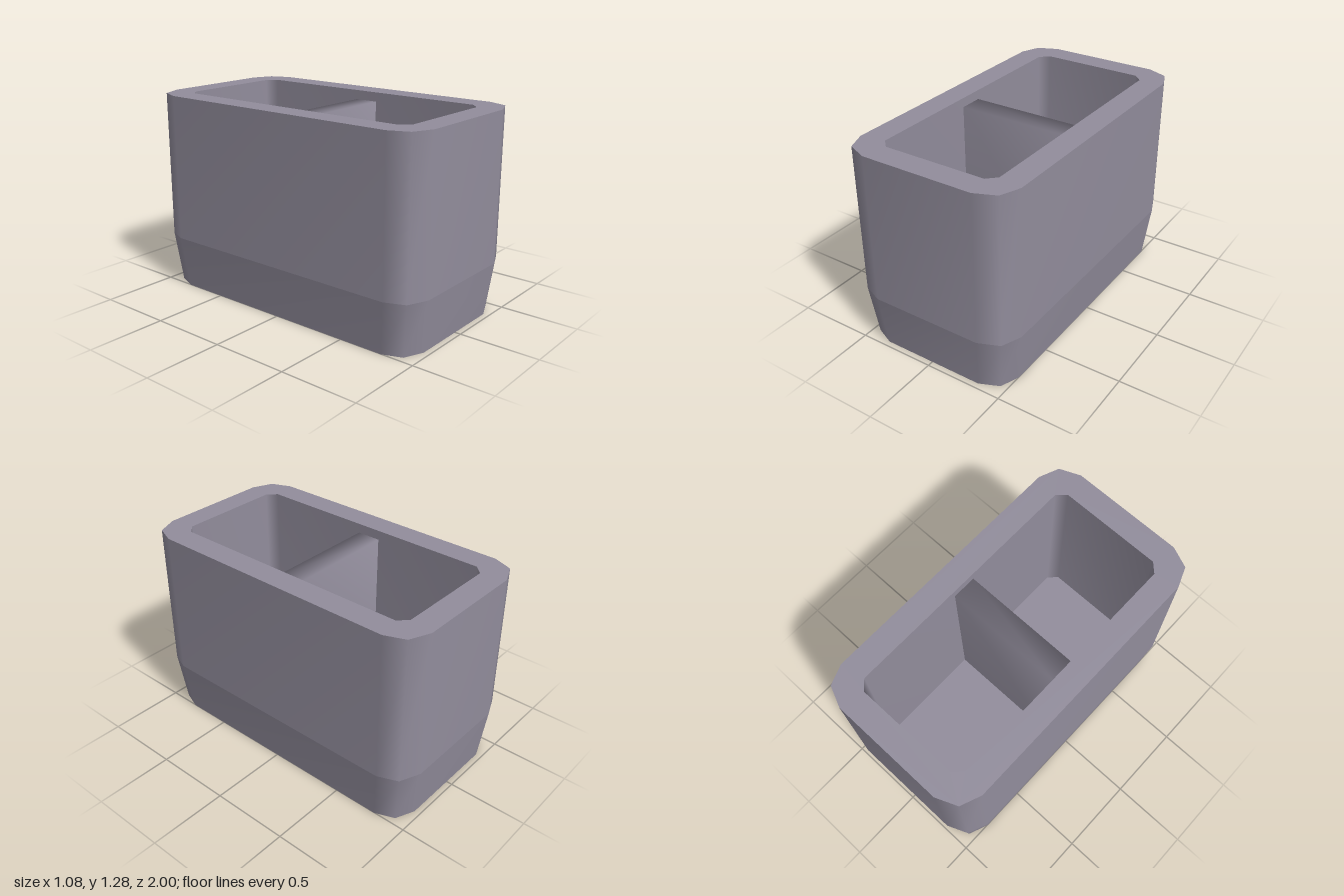
import * as THREE from 'three';

const HEIGHT = 1.28, FLOOR = 0.16;

// Mirror one quarter of an outline (+x to +z) into a closed ring of [x, z]
function ring(quarter) {
  const back = [...quarter].reverse();
  return [
    ...quarter,
    ...back.map(([x, z]) => [-x, z]),
    ...quarter.map(([x, z]) => [-x, -z]),
    ...back.map(([x, z]) => [x, -z]),
  ];
}

// Smooth wall between two rings at different heights
function wall(lower, y0, upper, y1, inward = false) {
  const n = lower.length, pos = [], idx = [];
  lower.forEach(([x, z]) => pos.push(x, y0, z));
  upper.forEach(([x, z]) => pos.push(x, y1, z));
  for (let i = 0; i < n; i++) {
    const j = (i + 1) % n;
    if (inward) idx.push(i, j, n + i, j, n + j, n + i);
    else idx.push(i, n + i, j, j, n + i, n + j);
  }
  return indexed(pos, idx);
}

function indexed(pos, idx) {
  const g = new THREE.BufferGeometry();
  g.setAttribute('position', new THREE.Float32BufferAttribute(pos, 3));
  g.setIndex(idx);
  g.computeVertexNormals();
  return g;
}

// Flat horizontal face, optionally with an opening
function cap(outline, y, down = false, hole = null) {
  const pts = (r) => r.map(([x, z]) => new THREE.Vector2(x, z));
  const shape = new THREE.Shape(pts(outline));
  if (hole) shape.holes.push(new THREE.Path(pts(hole)));
  const g = new THREE.ShapeGeometry(shape);
  g.rotateX(down ? Math.PI / 2 : -Math.PI / 2);
  return g.translate(0, y, 0);
}

export function createModel() {
  const group = new THREE.Group();
  const grey = new THREE.MeshStandardMaterial({ color: 0x928d9c });
  grey.name = 'mauve grey';
  const add = (name, geometry) => {
    const mesh = new THREE.Mesh(geometry, grey);
    mesh.name = name;
    group.add(mesh);
  };

  const outer = ring([[0.54, 0.82], [0.49, 0.945], [0.36, 1]]);
  const foot = outer.map(([x, z]) => [x * 0.93, z * 0.963]);
  const inner = ring([[0.385, 0.79], [0.33, 0.845]]);

  // Outer body with tapered base
  add('bodyWall', wall(outer, 0.335, outer, HEIGHT));
  add('taperedBase', wall(foot, 0, outer, 0.335));
  add('underside', cap(foot, 0, true));
  add('rim', cap(outer, HEIGHT, false, inner));

  // Hollow interior
  add('innerWall', wall(inner, FLOOR, inner, HEIGHT, true));
  add('innerFloor', cap(inner, FLOOR));

  // Cross divider with softened top edges, running wall to wall
  const profile = [[0.077, FLOOR], [0.077, 1.22], [-0.077, 1.22], [-0.077, FLOOR]];
  const pos = [], idx = [];
  profile.forEach(([z, y]) => pos.push(-0.385, y, z, 0.385, y, z));
  for (let i = 0; i < 3; i++) {
    const a = i * 2;
    idx.push(a, a + 1, a + 2, a + 1, a + 3, a + 2);
  }
  add('divider', indexed(pos, idx));

  return group;
}
